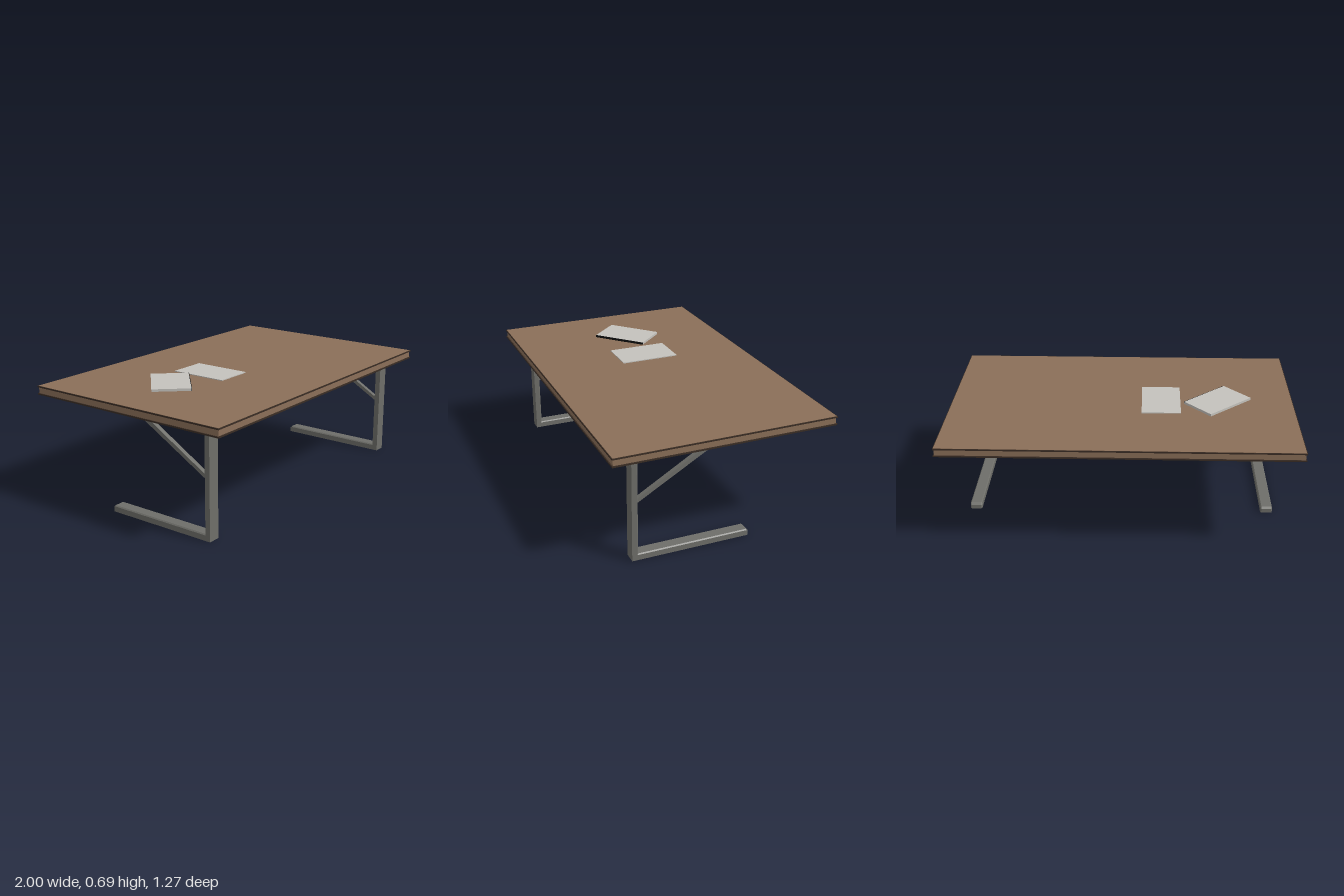
import * as THREE from 'three';

const mat = (name, color) => {
  const m = new THREE.MeshStandardMaterial({ color });
  m.name = name;
  return m;
};

export function createModel() {
  const wood = mat('wood', 0x8b6f58);
  const edging = mat('dark edging', 0x3a2d24);
  const steel = mat('grey steel', 0x6e6e69);
  const paper = mat('paper', 0xc4c2bd);
  const black = mat('black spine', 0x111111);

  const model = new THREE.Group();
  model.name = 'desk';

  const add = (parent, name, geometry, material, x = 0, y = 0, z = 0) => {
    const mesh = new THREE.Mesh(geometry, material);
    mesh.name = name;
    mesh.position.set(x, y, z);
    parent.add(mesh);
    return mesh;
  };
  const box = (parent, name, w, h, d, material, x, y, z) =>
    add(parent, name, new THREE.BoxGeometry(w, h, d), material, x, y, z);

  // Side profile given as [z, y] points, extruded across x
  const profile = (points, width, bevel = 0) => {
    const shape = new THREE.Shape(points.map(([z, y]) => new THREE.Vector2(-z, y)));
    const depth = width - 2 * bevel;
    const g = new THREE.ExtrudeGeometry(shape, {
      depth, bevelEnabled: bevel > 0, bevelSize: bevel, bevelThickness: bevel,
      bevelOffset: -bevel, bevelSegments: 1,
    });
    g.translate(0, 0, -depth / 2);
    g.rotateY(Math.PI / 2);
    return g;
  };

  // Table top: recessed core between two lips
  const top = new THREE.Group();
  top.name = 'tableTop';
  model.add(top);
  box(top, 'core', 1.988, 0.036, 1.258, wood, 0, 0.639, 0);
  for (const [side, y, s] of [['upper', 0.66, 1], ['lower', 0.618, -1]]) {
    box(top, side + 'Lip', 2, 0.008, 1.27, edging, 0, y, 0);
    box(top, side + 'Surface', 1.992, 0.002, 1.262, wood, 0, y + s * 0.004, 0);
  }

  // C-shaped frames: bevelled along the inner edges, square along the outer ones
  const TOP = 0.614, FRONT = 0.505;
  const frame = profile([
    [FRONT, 0], [-0.175, 0], [-0.175, 0.025], [-0.163, 0.037], [0.47, 0.037],
    [0.47, 0.59], [-0.528, 0.59], [-0.54, 0.602], [-0.54, TOP], [FRONT, TOP],
  ], 0.07, 0.006);
  const p = frame.attributes.position;
  for (let i = 0; i < p.count; i++) {
    if (p.getZ(i) > 0.49) p.setZ(i, FRONT);
    if (p.getY(i) < 0.012) p.setY(i, 0);
    if (p.getY(i) > 0.605) p.setY(i, TOP);
  }
  frame.computeVertexNormals();
  const brace = profile([[0.473, 0.326], [0.013, 0.592], [0.063, 0.592], [0.473, 0.349]], 0.026);

  for (const [name, x] of [['rightLeg', -0.875], ['leftLeg', 0.885]]) {
    const leg = new THREE.Group();
    leg.name = name;
    leg.position.x = x;
    add(leg, 'frame', frame, steel);
    add(leg, 'brace', brace, steel);
    model.add(leg);
  }

  // Loose sheet and bound booklet
  box(model, 'sheet', 0.225, 0.005, 0.345, paper, -0.228, 0.677, -0.027);
  const booklet = new THREE.Group();
  booklet.name = 'booklet';
  booklet.position.set(-0.556, 0.685, -0.045);
  booklet.rotation.y = 0.74;
  box(booklet, 'pages', 0.33, 0.014, 0.216, paper, 0, 0, -0.001);
  box(booklet, 'spine', 0.33, 0.0135, 0.003, black, 0, 0, 0.1085);
  model.add(booklet);

  return model;
}
